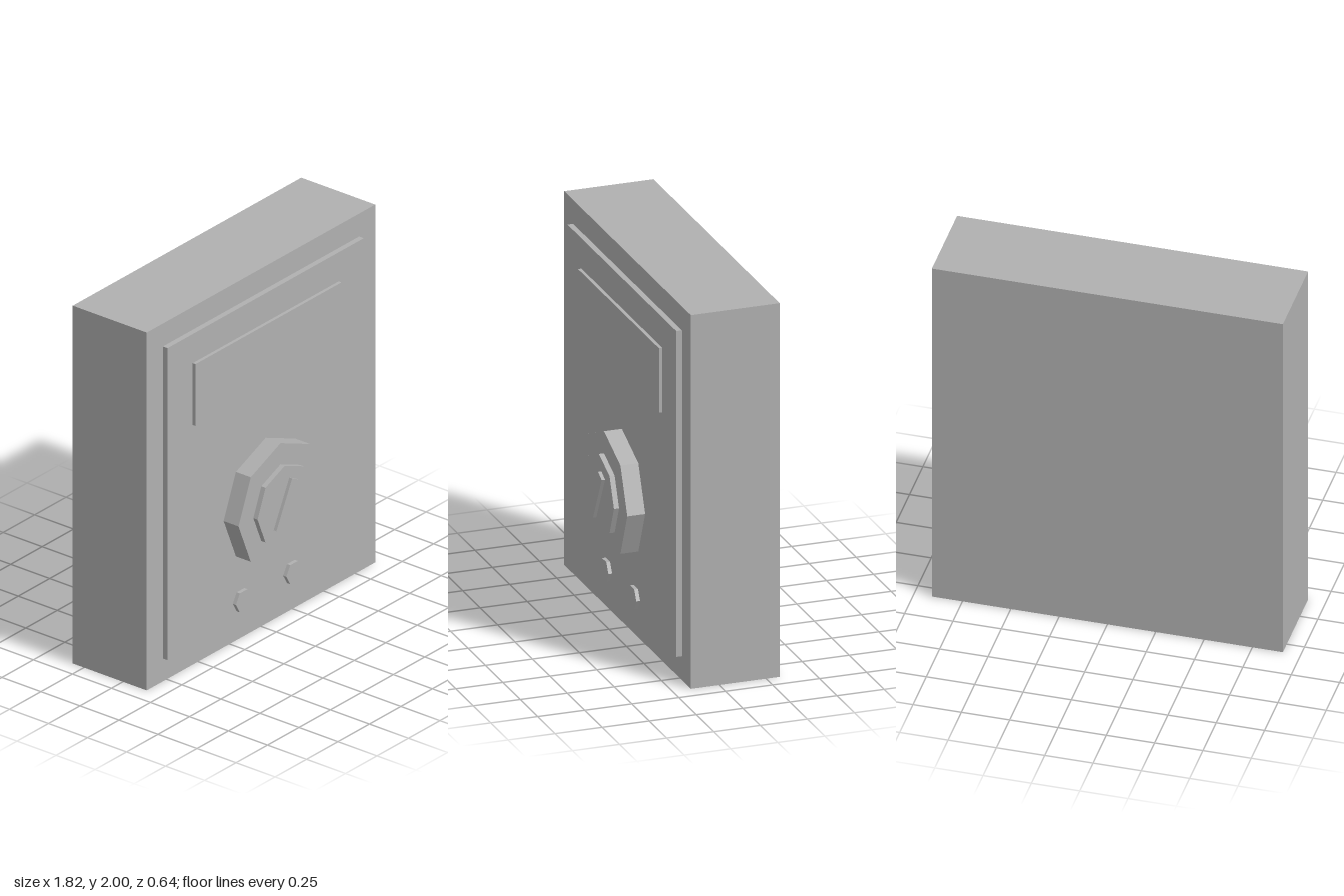
import * as THREE from 'three';

export function createModel() {
  const group = new THREE.Group();
  const grey = new THREE.MeshStandardMaterial({ color: 0xb0b0b0, flatShading: true });
  grey.name = 'plainGrey';

  // Adds a part reaching from depth z0 to z1
  function add(name, geometry, x, y, z0, z1, turn = 0) {
    const mesh = new THREE.Mesh(geometry, grey);
    mesh.name = name;
    mesh.position.set(x, y, (z0 + z1) / 2);
    mesh.rotation.z = turn;
    group.add(mesh);
  }
  const plate = (name, w, h, x, y, z0, z1, turn) =>
    add(name, new THREE.BoxGeometry(w, h, z1 - z0), x, y, z0, z1, turn);
  // Faceted disc facing the front
  const disc = (name, radius, sides, x, y, z0, z1, start = 0) =>
    add(name, new THREE.CylinderGeometry(radius, radius, z1 - z0, sides, 1, false, start)
      .rotateX(Math.PI / 2), x, y, z0, z1);

  // Case, raised front panel and display
  plate('case', 1.816, 2, 0, 1, -0.322, 0.152);
  plate('frontPanel', 1.56, 1.744, 0, 1, 0.152, 0.182);
  plate('display', 1.16, 0.345, 0, 1.537, 0.182, 0.2);

  // Stepped selector dial with a tilted pointer
  disc('dialBase', 0.334, 8, 0, 0.73, 0.182, 0.277);
  disc('dialKnob', 0.216, 8, 0, 0.73, 0.277, 0.304);
  plate('dialPointer', 0.058, 0.276, 0, 0.73, 0.304, 0.322, -0.47);

  // Pair of hexagonal sockets
  for (const side of [-1, 1]) {
    disc(side > 0 ? 'leftSocket' : 'rightSocket', 0.061, 6, side * 0.2, 0.238, 0.182, 0.202, Math.PI / 6);
  }
  return group;
}
